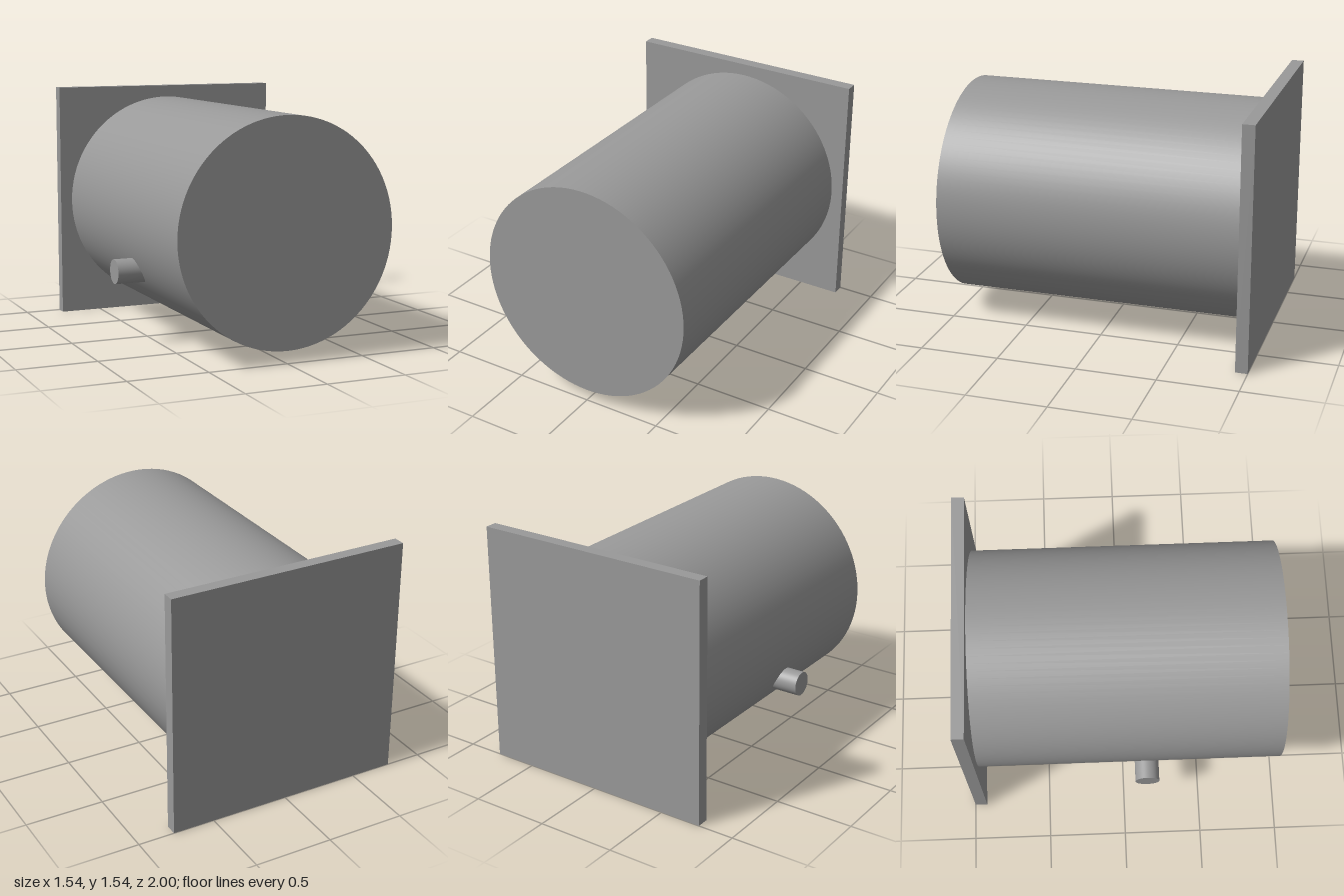
import * as THREE from 'three';

export function createModel() {
  const group = new THREE.Group();
  const grey = new THREE.MeshStandardMaterial({ color: 0x999999 });
  grey.name = 'grey';

  const add = (name, geometry, x, y, z) => {
    const mesh = new THREE.Mesh(geometry, grey);
    mesh.name = name;
    mesh.position.set(x, y, z);
    group.add(mesh);
  };

  const midY = 0.769; // height of the drum axis

  // Square plate at the back
  add('backPlate', new THREE.BoxGeometry(1.538, 1.538, 0.077), 0, midY, -0.9615);

  // Main drum, lying along z
  add('drum', new THREE.CylinderGeometry(0.692, 0.692, 1.923, 96).rotateX(Math.PI / 2), 0, midY, 0.0385);

  // Small peg low on the right side, rooted inside the drum
  add('sidePeg', new THREE.CylinderGeometry(0.077, 0.077, 0.229, 48).rotateZ(Math.PI / 2), -0.6545, 0.4615, 0.15);

  return group;
}
